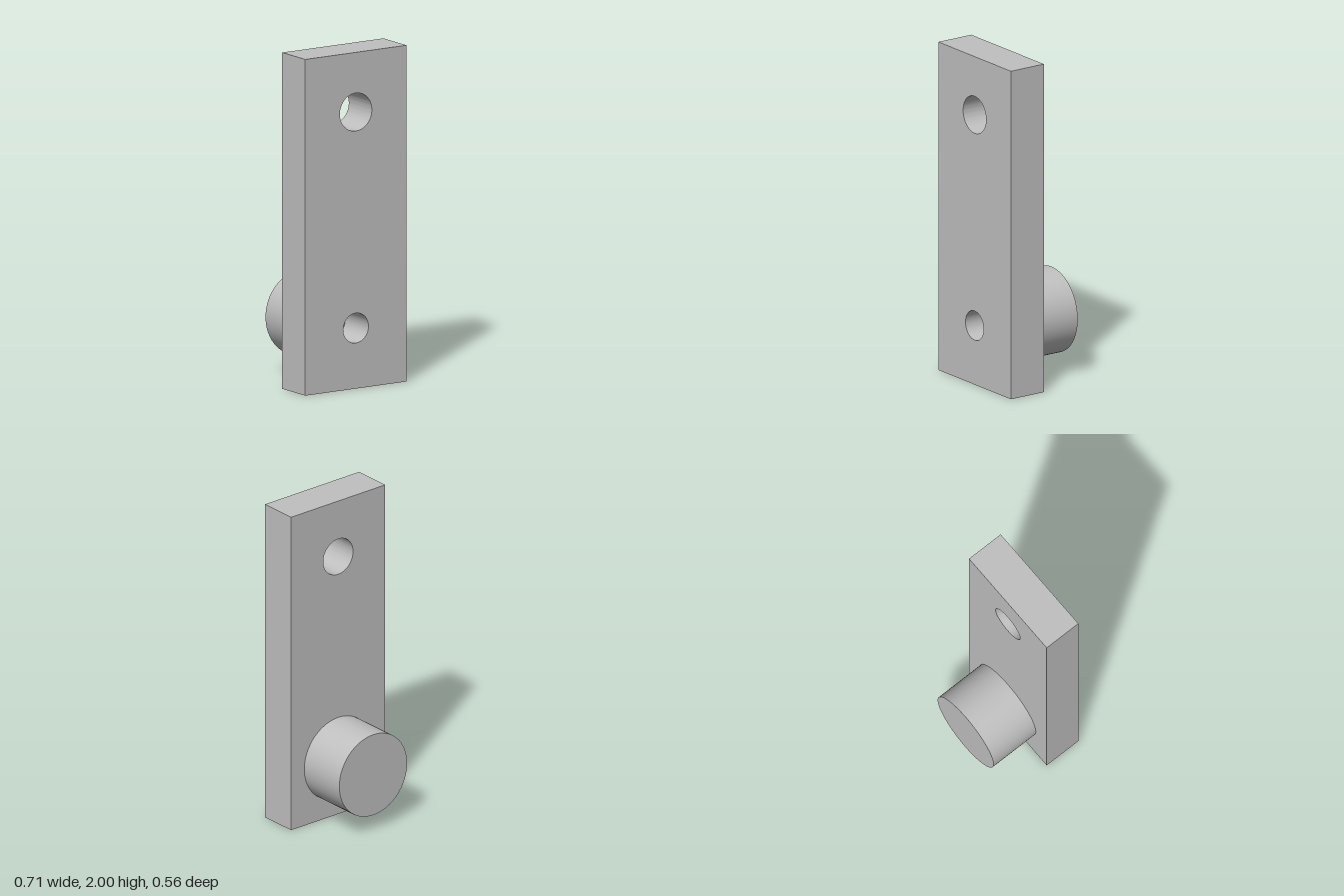
import * as THREE from 'three';
import { toCreasedNormals } from 'three/addons/utils/BufferGeometryUtils.js';

const HALF_WIDTH = 0.357, HEIGHT = 2;
const FRONT = 0.278, SEAT = 0.04, BACK = -0.278; // z of plate front, plate back, boss end
const PIN_Y = 0.36;

function addHole(shape, y, radius) {
  const hole = new THREE.Path();
  hole.absarc(0, y, radius, 0, Math.PI * 2, true);
  shape.holes.push(hole);
}

export function createModel() {
  const group = new THREE.Group();
  group.name = 'crankArm';
  const greyMetal = new THREE.MeshStandardMaterial({ color: 0xc0c0c0 });
  greyMetal.name = 'greyMetal';

  // Flat arm with a large upper bore and a smaller lower bore
  const outline = new THREE.Shape([
    new THREE.Vector2(-HALF_WIDTH, 0),
    new THREE.Vector2(HALF_WIDTH, 0),
    new THREE.Vector2(HALF_WIDTH, HEIGHT),
    new THREE.Vector2(-HALF_WIDTH, HEIGHT),
  ]);
  addHole(outline, 1.645, 0.113);
  addHole(outline, PIN_Y, 0.089);
  const plateGeometry = new THREE.ExtrudeGeometry(outline, {
    depth: FRONT - SEAT, bevelEnabled: false, curveSegments: 48,
  });
  const plate = new THREE.Mesh(toCreasedNormals(plateGeometry, 0.6), greyMetal);
  plate.name = 'armPlate';
  plate.position.z = SEAT;
  group.add(plate);

  // Solid round boss on the back, closing the lower bore
  const bossGeometry = new THREE.CylinderGeometry(0.257, 0.257, SEAT - BACK, 64);
  bossGeometry.rotateX(Math.PI / 2);
  const boss = new THREE.Mesh(bossGeometry, greyMetal);
  boss.name = 'rearBoss';
  boss.position.set(0, PIN_Y, (SEAT + BACK) / 2);
  group.add(boss);

  return group;
}
